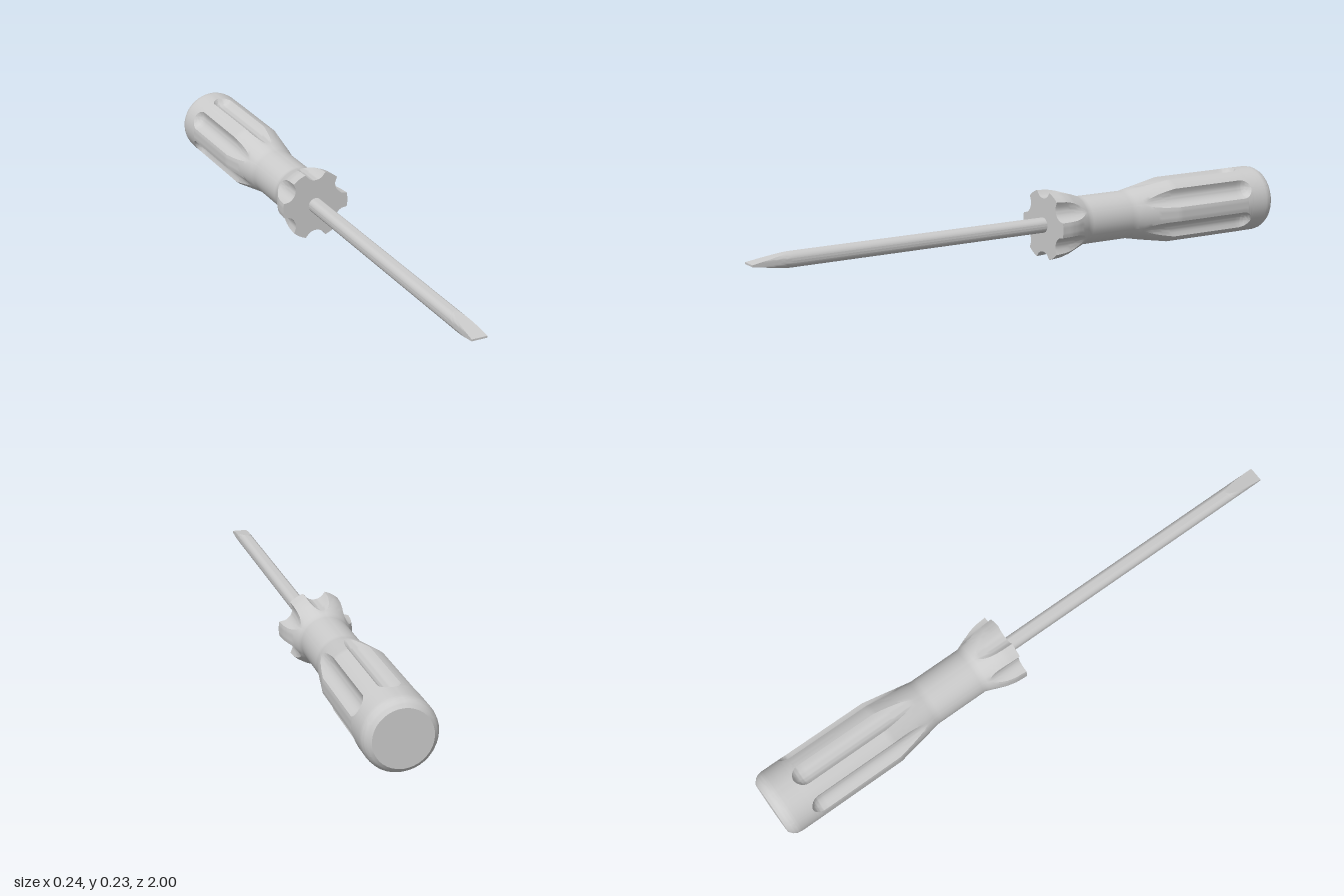
import * as THREE from 'three';
import { toCreasedNormals } from 'three/addons/utils/BufferGeometryUtils.js';

// Skin a stack of rings (counter-clockwise seen from +z, ordered by rising z) and cap both ends.
function loft(rings) {
  const n = rings[0].length, last = (rings.length - 1) * n;
  const pos = [], idx = [];
  rings.forEach(ring => ring.forEach(p => pos.push(...p)));
  const back = pos.length / 3, front = back + 1;
  pos.push(0, 0, rings[0][0][2], 0, 0, rings[rings.length - 1][0][2]);
  for (let i = 0; i < n; i++) {
    const j = (i + 1) % n;
    for (let k = 0; k < last; k += n) {
      idx.push(k + i, k + j, k + n + j, k + i, k + n + j, k + n + i);
    }
    idx.push(back, j, i, front, last + i, last + j);
  }
  const g = new THREE.BufferGeometry();
  g.setAttribute('position', new THREE.Float32BufferAttribute(pos, 3));
  g.setIndex(idx);
  return toCreasedNormals(g, 0.5);
}

// Handle outline: [z, radius] from butt to collar
const PROFILE = [
  [-1, 0.093], [-0.988, 0.107], [-0.975, 0.114], [-0.96, 0.116], [-0.91, 0.116],
  [-0.86, 0.116], [-0.57, 0.115], [-0.4, 0.083], [-0.21, 0.083], [-0.14, 0.11],
  [-0.11, 0.117], [-0.07, 0.12],
];
const GROOVE_DIST = 0.132, GROOVE_R = 0.041, GROOVE_END = -0.86;

// One handle cross-section: six scooped grooves with lobes between them
function handleRing(z, R) {
  const dz = Math.max(0, GROOVE_END - z), D = GROOVE_DIST;
  const g = Math.sqrt(Math.max(0, GROOVE_R ** 2 - dz ** 2)); // round-ended scoop
  const cut = D - g < R;
  const edge = cut ? Math.acos(Math.min(1, (R * R + D * D - g * g) / (2 * R * D))) : 0;
  const e = Math.max(edge, 0.04);
  const ring = [];
  const add = (a, r) => ring.push([r * Math.cos(a), r * Math.sin(a), z]);
  for (let s = 0; s < 6; s++) {
    const mid = Math.PI / 6 + s * Math.PI / 3;
    for (let i = 0; i <= 10; i++) {
      const a = -e + 2 * e * i / 10;
      const inside = g * g - (D * Math.sin(a)) ** 2;
      const r = cut && inside > 0 ? D * Math.cos(a) - Math.sqrt(inside) : R;
      add(mid + a, Math.min(r, R));
    }
    const lobe = Math.PI / 3 - 2 * e;
    for (let i = 1; i < 6; i++) add(mid + e + lobe * i / 6, R);
  }
  return ring;
}

function handleGeometry() {
  const rings = [];
  PROFILE.forEach(([z, r], k) => {
    if (k === PROFILE.length - 1) return rings.push(handleRing(z, r));
    const [z2, r2] = PROFILE[k + 1];
    const steps = Math.max(1, Math.round((z2 - z) / (z < -0.86 ? 0.004 : 0.012)));
    for (let i = 0; i < steps; i++) {
      const t = i / steps;
      rings.push(handleRing(z + (z2 - z) * t, r + (r2 - r) * t));
    }
  });
  return loft(rings);
}

// Round rod section cut flat above and below at height h
function bladeRing(z, h, r) {
  const e = Math.min(Math.asin(Math.min(1, h / r)), Math.PI / 2 - 0.05);
  const ring = [];
  for (const turn of [0, Math.PI]) {
    for (let i = 0; i < 10; i++) {
      const a = turn - e + 2 * e * i / 10;
      ring.push([r * Math.cos(a), r * Math.sin(a), z]);
    }
    const side = turn ? -1 : 1;
    for (let i = 0; i < 10; i++) {
      const x = r * Math.cos(e) * (1 - 2 * i / 10);
      const arc = Math.sqrt(Math.max(0, r * r - x * x));
      ring.push([side * x, side * Math.min(Math.max(h, r * Math.sin(e)), arc), z]);
    }
  }
  return ring;
}

export function createModel() {
  const group = new THREE.Group();
  const material = new THREE.MeshStandardMaterial({ color: 0xcccccc });
  const add = (name, geometry) => {
    const mesh = new THREE.Mesh(geometry, material);
    mesh.name = name;
    mesh.position.y = 0.116;
    group.add(mesh);
  };

  add('handle', handleGeometry());

  // Shaft with a flat wedge tip
  const r = 0.026, rings = [bladeRing(-0.1, r, r)];
  for (let i = 0; i <= 12; i++) {
    const t = i / 12;
    rings.push(bladeRing(0.86 + 0.14 * t, r + (0.003 - r) * t, r));
  }
  add('shaftAndBlade', loft(rings));
  return group;
}
